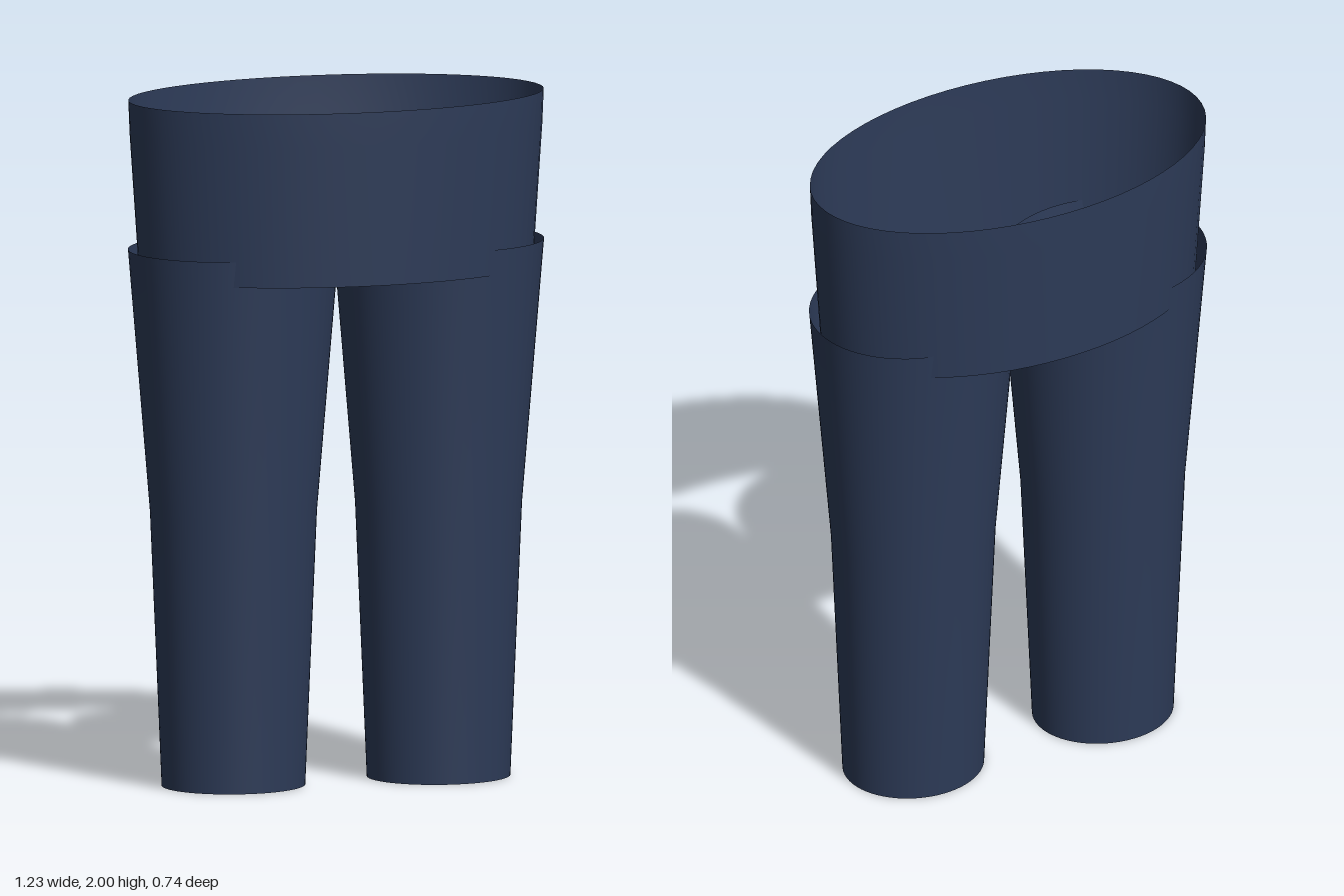
import * as THREE from 'three';

// Open elliptical tube: profile of [radius, y], flattened in z
function tube(name, profile, depth, material) {
  const points = profile.map(([r, y]) => new THREE.Vector2(r, y));
  const geometry = new THREE.LatheGeometry(points, 64);
  geometry.scale(1, 1, depth);
  const mesh = new THREE.Mesh(geometry, material);
  mesh.name = name;
  return mesh;
}

export function createModel() {
  const model = new THREE.Group();
  model.name = 'trousers';
  const denim = new THREE.MeshStandardMaterial({ color: 0x2d3b58, side: THREE.DoubleSide });
  denim.name = 'navy cloth';

  // Hip section, open at the waist and below
  model.add(tube('hips', [[0.585, 1.49], [0.613, 1.9], [0.617, 2]], 0.6, denim));

  // Two tapering legs, open at both ends
  for (const [name, side] of [['leftLeg', 1], ['rightLeg', -1]]) {
    const leg = tube(name, [[0.209, 0], [0.243, 0.8], [0.307, 1.565]], 0.9, denim);
    leg.position.x = 0.31 * side;
    model.add(leg);
  }
  return model;
}
